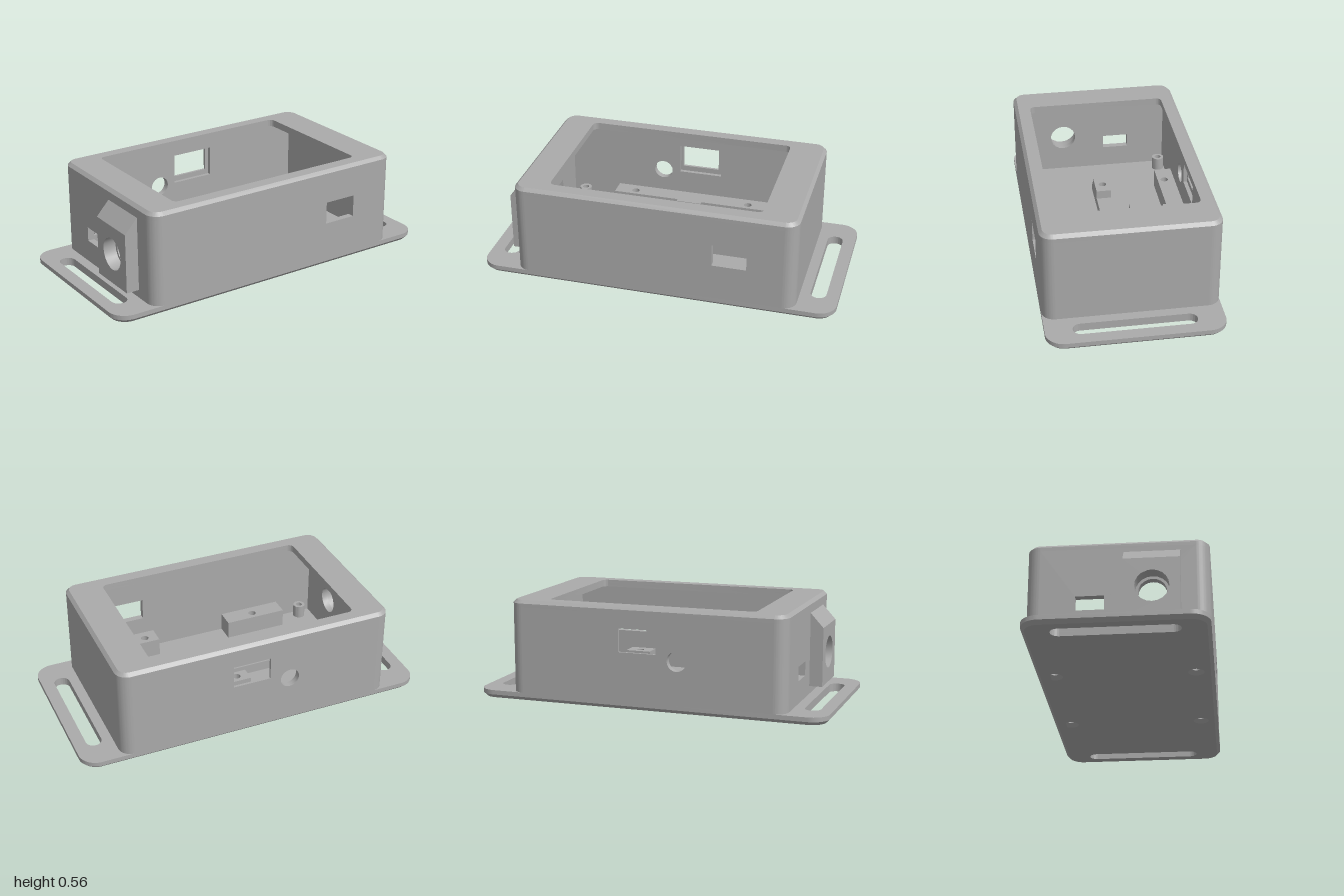
import * as THREE from 'three';
import { toCreasedNormals } from 'three/addons/utils/BufferGeometryUtils.js';

const X = 0.787, Z = 0.477, R = 0.07, T = 0.037;   // case half sizes, corner radius, wall
const FLOOR = 0.045, LID = 0.525, TOP = 0.565;

const plastic = new THREE.MeshStandardMaterial({ color: 0xaaaaaa });
plastic.name = 'grey plastic';

function roundRect(x0, x1, y0, y1, r, path = new THREE.Shape()) {
  if (r <= 0) {
    path.moveTo(x0, y0).lineTo(x1, y0).lineTo(x1, y1).lineTo(x0, y1).lineTo(x0, y0);
    return path;
  }
  path.moveTo(x0 + r, y0);
  path.absarc(x1 - r, y0 + r, r, -Math.PI / 2, 0);
  path.absarc(x1 - r, y1 - r, r, 0, Math.PI / 2);
  path.absarc(x0 + r, y1 - r, r, Math.PI / 2, Math.PI);
  path.absarc(x0 + r, y0 + r, r, Math.PI, Math.PI * 1.5);
  return path;
}
const rectHole = (x0, x1, y0, y1, r = 0) => roundRect(x0, x1, y0, y1, r, new THREE.Path());
const roundHole = (x, y, r) => new THREE.Path().absarc(x, y, r, 0, Math.PI * 2);

function extrude(shape, holes, depth) {
  shape.holes.push(...holes);
  return new THREE.ExtrudeGeometry(shape, { depth, bevelEnabled: false, curveSegments: 10 });
}
// Slab standing on height y0; shape y runs towards -z
const slab = (shape, holes, y0, y1) =>
  extrude(shape, holes, y1 - y0).rotateX(-Math.PI / 2).translate(0, y0, 0);

function moveVertices(geo, rule) {
  const p = geo.attributes.position, v = new THREE.Vector3();
  for (let i = 0; i < p.count; i++) {
    rule(v.fromBufferAttribute(p, i));
    p.setXYZ(i, v.x, v.y, v.z);
  }
  return geo;
}
// Pull the outer outline inwards at one height
function chamfer(geo, y, hx, hz, r, c) {
  return moveVertices(geo, v => {
    if (Math.abs(v.y - y) > 1e-4) return;
    const cx = THREE.MathUtils.clamp(v.x, r - hx, hx - r);
    const cz = THREE.MathUtils.clamp(v.z, r - hz, hz - r);
    if (Math.hypot(v.x - cx, v.z - cz) < r * 0.95) return;
    v.x = cx + (v.x - cx) * (r - c) / r;
    v.z = cz + (v.z - cz) * (r - c) / r;
  });
}

export function createModel() {
  const model = new THREE.Group();
  model.name = 'enclosure';
  const add = (name, geo) => {
    const mesh = new THREE.Mesh(toCreasedNormals(geo, 0.5), plastic);
    mesh.name = name;
    model.add(mesh);
    return mesh;
  };

  // Base plate with strap slots and countersunk screw holes
  const screws = [-0.345, 0.345].flatMap(x => [[x, -0.38], [x, 0.38]]);
  const plateHoles = () => [
    rectHole(-0.93, -0.843, -0.33, 0.33, 0.043),
    rectHole(0.843, 0.93, -0.33, 0.33, 0.043),
    ...screws.map(([x, z]) => roundHole(x, -z, 0.022)),
  ];
  const plate = () => roundRect(-1, 1, -Z, Z, 0.1);
  add('basePlate', slab(plate(), plateHoles(), 0.02, FLOOR));
  const underside = chamfer(slab(plate(), plateHoles(), 0, 0.02), 0, 1, Z, 0.1, 0.02);
  moveVertices(underside, v => {
    if (v.y > 0.01) return;
    for (const [x, z] of screws) {
      const dx = v.x - x, dz = v.z - z;
      if (Math.hypot(dx, dz) < 0.025) { v.x = x + dx * 2; v.z = z + dz * 2; return; }
    }
  });
  add('plateUnderside', underside);

  // Case walls with their cut-outs
  const wall = (half, holes, depth = T) =>
    extrude(roundRect(-half, half, FLOOR, LID, 0), holes, depth);
  add('frontWall', wall(X - R, [rectHole(0.33, 0.52, 0.25, 0.375)]).translate(0, 0, Z - T));
  const button = r => roundHole(-0.187, 0.285, r);
  add('backWallOuter', wall(X - R, [rectHole(-0.07, 0.145, 0.315, 0.445), button(0.055)], 0.015)
    .translate(0, 0, -Z));
  add('backWallInner', wall(X - R, [rectHole(-0.085, 0.165, 0.285, 0.455), button(0.055)], T - 0.015)
    .translate(0, 0, -Z + 0.015));
  add('leftWall', wall(Z - R, []).rotateY(-Math.PI / 2).translate(X, 0, 0));
  add('rightWall', wall(Z - R, [rectHole(-0.22, -0.07, 0.17, 0.25), roundHole(0.18, 0.26, 0.075)])
    .rotateY(-Math.PI / 2).translate(-X + T, 0, 0));

  // Rounded outside corners, square inside
  for (const [sx, sz] of [[1, 1], [-1, 1], [-1, -1], [1, -1]]) {
    const s = new THREE.Shape();
    const a = Math.atan2(sz, sx);
    s.moveTo(sx * (X - T), sz * (Z - T));
    s.lineTo(...(sx * sz > 0 ? [sx * (X - T), sz * (Z - R)] : [sx * (X - R), sz * (Z - T)]));
    const mid = Math.round((a - Math.PI / 4) / (Math.PI / 2)) * Math.PI / 2;
    s.absarc(sx * (X - R), sz * (Z - R), R, mid, mid + Math.PI / 2);
    s.lineTo(...(sx * sz > 0 ? [sx * (X - R), sz * (Z - T)] : [sx * (X - T), sz * (Z - R)]));
    add('caseCorner', slab(s, [], FLOOR, LID));
  }

  // Top rim around the open window, chamfered outside
  const rim = (y0, y1) => slab(roundRect(-X, X, -Z, Z, R),
    [rectHole(-0.6, 0.583, -0.39, 0.395, 0.03)], y0, y1);
  add('rim', rim(LID, TOP - 0.018));
  add('rimChamfer', chamfer(rim(TOP - 0.018, TOP), TOP, X, Z, R, 0.018));

  // Socket housing on the right side, with sloping top
  const socket = extrude(roundRect(0.03, 0.325, 0.09, 0.5, 0), [roundHole(0.18, 0.26, 0.09)], 0.073)
    .rotateY(-Math.PI / 2).translate(-X, 0, 0);
  add('socketHousing', moveVertices(socket, v => {
    if (v.y > 0.49 && v.x < -X - 0.05) v.y = 0.42;
  }));

  // Inner supports: x0, x1, z0, z1, bottom, top, screw hole centres
  const support = (name, x0, x1, z0, z1, y0, y1, holes = []) =>
    add(name, slab(roundRect(x0, x1, -z1, -z0, 0),
      holes.map(([x, z]) => roundHole(x, -z, 0.022)), y0, y1));
  const H = 0.15, LOW = 0.1;
  support('backSupport', -0.465, 0.46, -0.44, -0.34, FLOOR, H, [screws[0], screws[2]]);
  support('backSupportTab', -0.075, 0.07, -0.34, -0.32, FLOOR, H);
  support('frontSupportWide', -0.53, -0.17, 0.335, 0.44, FLOOR, H, [screws[1]]);
  support('frontSupportNarrow', 0.27, 0.42, 0.335, 0.44, FLOOR, H, [screws[3]]);
  support('middleStrip', -0.465, 0.46, -0.045, 0.04, FLOOR, LOW);
  for (const x of [-0.345, 0.345])
    support('middleBlock', x - 0.075, x + 0.075, -0.045, 0.04, LOW, H, [[x, -0.005]]);
  support('centreStrip', -0.18, 0.18, -0.225, -0.14, FLOOR, LOW);
  support('centreBlock', -0.07, 0.07, -0.225, -0.14, LOW, H, [[0, -0.18]]);

  // Hollow posts in the corners
  for (const x of [-0.67, 0.67]) for (const z of [-0.4, 0.4])
    add('cornerPost', slab(new THREE.Shape().absarc(x, -z, 0.035, 0, Math.PI * 2),
      [roundHole(x, -z, 0.018)], FLOOR, 0.12));

  return model;
}
